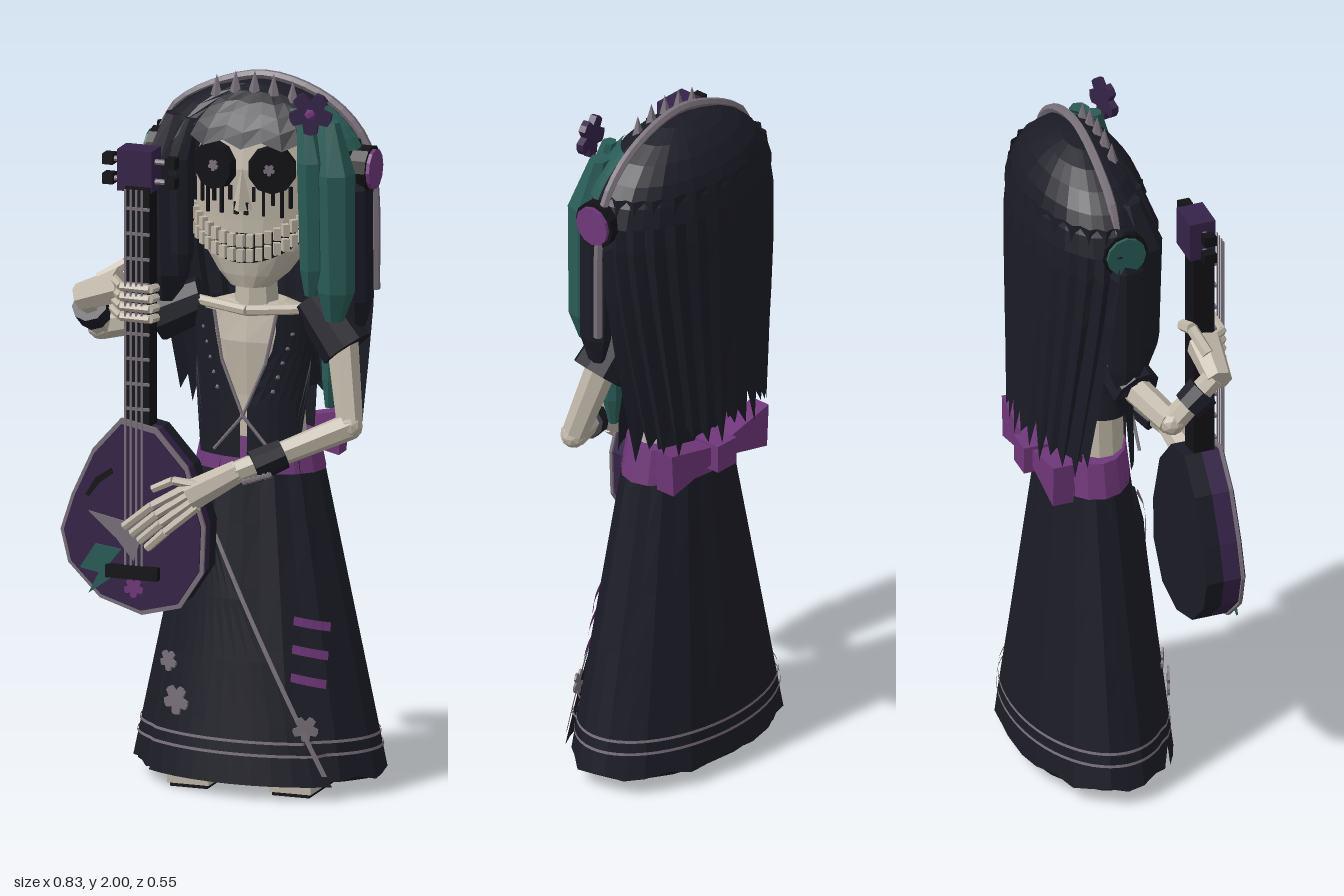
import * as THREE from 'three';

const CX = 0.055, CZ = -0.06; // body axis
const V = (p) => new THREE.Vector3(...p);
const lerp = THREE.MathUtils.lerp;

function mat(name, color) {
  return new THREE.MeshStandardMaterial({ name, color, flatShading: true, side: THREE.DoubleSide });
}

export function createModel() {
  const root = new THREE.Group();
  root.name = 'skeletonMusician';
  const M = {
    cloth: mat('darkCloth', 0x1b1b26), black: mat('black', 0x121217), bone: mat('bone', 0xbfb6a7),
    purple: mat('deepPurple', 0x352348), magenta: mat('magenta', 0x70377a), teal: mat('teal', 0x295b56),
    grey: mat('grey', 0x79707a),
  };
  const add = (name, geo, m, parent = root) => {
    const mesh = new THREE.Mesh(geo, m);
    mesh.name = name;
    parent.add(mesh);
    return mesh;
  };
  // Surface grid: fn(u, v, i, j) gives a point
  const grid = (nu, nv, fn) => {
    const pos = [], idx = [];
    for (let j = 0; j <= nv; j++) for (let i = 0; i <= nu; i++) pos.push(...fn(i / nu, j / nv, i, j));
    for (let j = 0; j < nv; j++) for (let i = 0; i < nu; i++) {
      const a = j * (nu + 1) + i, b = a + nu + 1;
      idx.push(a, a + 1, b + 1, a, b + 1, b);
    }
    const g = new THREE.BufferGeometry();
    g.setAttribute('position', new THREE.Float32BufferAttribute(pos, 3));
    g.setIndex(idx);
    g.computeVertexNormals();
    return g;
  };
  // Closed loft through rings [x, y, z, rx, rz], listed bottom to top
  const loft = (rings, n = 10) => {
    const first = rings[0], last = rings[rings.length - 1];
    const all = [[...first.slice(0, 3), 0, 0], ...rings, [...last.slice(0, 3), 0, 0]];
    return grid(n, all.length - 1, (u, v, i, j) => {
      const [x, y, z, rx, rz] = all[j], t = u * Math.PI * 2;
      return [x + rx * Math.sin(t), y, z + rz * Math.cos(t)];
    });
  };
  const limb = (name, a, b, r0, r1, m = M.bone, parent = root, n = 7) => {
    const A = V(a), B = V(b), d = B.clone().sub(A);
    const mesh = add(name, new THREE.CylinderGeometry(r1, r0, d.length(), n), m, parent);
    mesh.position.copy(A).add(B).multiplyScalar(0.5);
    mesh.quaternion.setFromUnitVectors(new THREE.Vector3(0, 1, 0), d.normalize());
  };
  const chain = (name, pts, r, m) => {
    for (let i = 0; i + 1 < pts.length; i++) limb(name, pts[i], pts[i + 1], r, r * 0.92, m, root, 6);
  };
  const box = (name, p, s, m, parent = root) => {
    const b = add(name, new THREE.BoxGeometry(...s), m, parent);
    b.position.set(...p);
    return b;
  };
  const plate = (pts, depth) => new THREE.ExtrudeGeometry(
    new THREE.Shape(pts.map(([x, y]) => new THREE.Vector2(x, y))), { depth, bevelEnabled: false });
  const flower = (name, p, r, m, ry = 0, depth = 0.006) => {
    const pts = Array.from({ length: 20 }, (_, i) => {
      const k = r * [0.6, 0.97, 1, 0.97][i % 4], t = i / 20 * Math.PI * 2;
      return [k * Math.sin(t), k * Math.cos(t)];
    });
    const f = add(name, plate(pts, depth), m);
    f.position.set(...p);
    f.rotation.y = ry;
  };

  // Skirt, hem and trimmings
  const skirtR = (y) => lerp(0.18, 0.36, (0.9 - y) / 0.85);
  const skirtPt = (t, y, off = 0) => {
    const rz = lerp(0.12, 0.214, (0.9 - y) / 0.85);
    return [CX + (skirtR(y) + off) * Math.sin(t), y, CZ + (rz + off) * Math.cos(t)];
  };
  const angleAt = (x, y) => Math.asin(THREE.MathUtils.clamp((x - CX) / skirtR(y), -1, 1));
  add('skirt', grid(28, 5, (u, v, i) => skirtPt(u * Math.PI * 2, lerp(0.043 + 0.007 * (i % 28 % 3), 0.92, v), i % 2 * -0.006)), M.cloth);
  add('skirtUnderside', loft([[CX, 0.046, CZ, 0.348, 0.207], [CX, 0.056, CZ, 0.348, 0.207]], 20), M.black);
  const seamX = (y) => lerp(0.3, -0.08, (y - 0.06) / 0.82);
  add('skirtFlap', grid(10, 5, (u, v) => {
    const y = lerp(0.04, 0.88, v);
    return skirtPt(lerp(-0.8, angleAt(seamX(y), y), u), y, 0.008 + 0.012 * u);
  }), M.cloth);
  add('flapSeam', grid(1, 12, (u, v) => {
    const y = lerp(0.07, 0.87, v);
    return skirtPt(angleAt(seamX(y) - 0.012 * u, y), y, 0.025);
  }), M.grey);
  for (const y of [0.12, 0.155]) add('hemStripe', grid(56, 1, (u, v) => {
    const t = lerp(-Math.PI, Math.PI, u), k = (t + 0.8) / (angleAt(seamX(y), y) + 0.8);
    return skirtPt(t, y + v * 0.008, k > 0 && k < 1 ? 0.012 + 0.012 * k : 0.004);
  }), M.grey);
  for (const [x, y, r] of [[-0.14, 0.35, 0.03], [-0.11, 0.25, 0.042], [0.24, 0.2, 0.036]]) {
    const t = angleAt(x, y);
    flower('skirtFlower', skirtPt(t, y, 0.02), r, M.grey, t * 0.6);
  }
  for (let k = 0; k < 3; k++) add('skirtSlash', grid(4, 1, (u, v) => {
    const y = 0.325 + k * 0.077 + v * 0.024 - u * 0.022;
    return skirtPt(angleAt(0.2 + u * 0.085, y), y, 0.009);
  }), M.magenta);

  // Shoes
  for (const x of [-0.095, 0.2]) {
    box('shoe', [x, 0.033, 0], [0.12, 0.045, 0.207], M.bone);
    box('sole', [x, 0.008, 0], [0.108, 0.016, 0.195], M.black);
  }

  // Belt and back bow
  add('belt', loft([[CX, 0.885, CZ, 0.187, 0.122], [CX, 0.985, CZ, 0.165, 0.112]], 16), M.magenta);
  const bow = add('bow', plate([[-0.19, 0.9], [-0.04, 0.935], [0.04, 0.935], [0.19, 0.9], [0.197, 1.025], [0.04, 0.99],
    [-0.04, 0.99], [-0.197, 1.025]], 0.06), M.magenta);
  bow.position.set(CX, 0, -0.217);
  box('bowKnot', [CX, 0.96, -0.2], [0.075, 0.08, 0.085], M.magenta);

  // Torso, neck and vest
  add('torso', loft([[CX, 0.93, -0.04, 0.14, 0.09], [CX, 1.1, -0.04, 0.13, 0.085], [CX, 1.25, -0.04, 0.155, 0.095],
    [CX, 1.33, -0.04, 0.16, 0.08], [CX, 1.355, -0.04, 0.08, 0.06]], 14), M.bone);
  add('neck', new THREE.CylinderGeometry(0.055, 0.065, 0.14, 8), M.bone).position.set(CX, 1.4, -0.03);
  const opening = (y) => THREE.MathUtils.clamp((y - 1.06) * 0.45, 0.01, 0.088);
  add('vest', grid(36, 8, (u, v) => {
    const t0 = u * Math.PI * 2, side = Math.min(t0, Math.PI * 2 - t0);
    const y = lerp(side < 1.0 ? 0.93 : side > 2.1 ? 0.96 : 1.13, 1.335, v);
    const rx = 0.17 + 0.02 * Math.abs(v - 0.4), a = Math.asin(opening(y) / rx);
    const t = lerp(a, Math.PI * 2 - a, u);
    return [CX + rx * Math.sin(t), y, -0.04 + 0.113 * Math.cos(t)];
  }), M.cloth);
  for (const s of [-1, 1]) {
    chain('lapelTrim', [[CX + s * 0.09, 1.335, 0.06], [CX + s * 0.063, 1.2, 0.072], [CX, 1.05, 0.08], [CX - s * 0.085, 0.95, 0.075]], 0.005, M.grey);
    limb('collarBone', [CX, 1.338, 0.05], [CX + s * 0.19, 1.345, -0.01], 0.015, 0.015);
    for (let k = 0; k < 5; k++) {
      const stud = add('vestStud', new THREE.ConeGeometry(0.007, 0.018, 5), M.grey);
      stud.position.set(CX + s * (0.08 + k * 0.012), 1.12 + k * 0.04, 0.068 - k * 0.006);
      stud.rotation.x = Math.PI / 2;
    }
  }

  // Skull
  add('skull', loft([[CX, 1.405, 0.01, 0.06, 0.05], [CX, 1.44, -0.01, 0.1, 0.08], [CX, 1.51, -0.02, 0.15, 0.1],
    [CX, 1.6, -0.03, 0.168, 0.11], [CX, 1.74, -0.03, 0.17, 0.115], [CX, 1.86, -0.04, 0.14, 0.1]], 18), M.bone);
  const facePt = (t, y, off = 0) => [CX + (0.168 + off) * Math.sin(t), y, -0.03 + (0.115 + off) * Math.cos(t)];
  const smile = (t) => 0.075 * Math.sin(t) ** 2;
  add('mouth', grid(14, 1, (u, v) => {
    const t = lerp(-1.2, 1.2, u);
    return facePt(t, 1.48 + v * lerp(0.085, 0.06, Math.abs(Math.sin(t))) + smile(t), 0.004);
  }), M.black);
  for (let row = 0; row < 2; row++) for (let i = 0; i < 17; i++) {
    const t = lerp(-1.15, 1.15, i / 16);
    box('tooth', facePt(t, 1.545 - row * 0.041 + smile(t), 0.012), [0.019, 0.034, 0.018], M.bone).rotation.y = t;
  }
  for (const s of [-1, 1]) {
    const eye = add('eyeSocket', new THREE.CylinderGeometry(0.066, 0.068, 0.025, 10), M.black);
    eye.position.set(CX + s * 0.083, 1.745, 0.073);
    eye.rotation.set(Math.PI / 2, 0, -s * 0.35);
    flower('pupil', [CX + s * 0.08, 1.748, 0.09], 0.016, M.grey, s * 0.3);
    for (let k = 0; k < 5; k++) {
      const t = s * (0.2 + k * 0.16), h = [0.04, 0.08, 0.05, 0.085, 0.06][k];
      box('tearDrip', facePt(t, 1.695 - h / 2, 0.003), [0.009, h, 0.008], M.black).rotation.y = t;
    }
    box('nostril', [CX + s * 0.014, 1.635, 0.092], [0.012, 0.035, 0.008], M.black);
  }
  add('nose', new THREE.ConeGeometry(0.03, 0.12, 4), M.bone).position.set(CX, 1.69, 0.085);

  // Hair: cap with fringe, pleated back curtain, front locks
  add('hairCap', grid(32, 6, (u, v, i) => {
    const t = u * Math.PI * 2, front = Math.cos(t) > 0.75;
    const y = front ? 1.8 + 0.02 * (i % 2) : 1.74;
    const p = lerp(Math.asin((y - 1.71) / 0.245), Math.PI / 2, v), f = 1 - 0.01 * (i % 2);
    return [CX + 0.322 * f * Math.cos(p) * Math.sin(t), 1.71 + 0.245 * Math.sin(p), -0.07 + 0.18 * f * Math.cos(p) * Math.cos(t)];
  }), M.cloth);
  add('backHair', grid(26, 5, (u, v, i) => {
    const a = lerp(2.0, 1.5, v), t = lerp(a, Math.PI * 2 - a, u), f = 1 - 0.045 * (i % 2);
    const y = lerp(1.01 + 0.07 * (i % 2) + 0.02 * (i % 3), 1.82, v);
    const r = lerp(0.29, 0.325, Math.min(1, v * 1.8)) * (v > 0.95 ? 0.92 : 1);
    return [CX + r * f * Math.sin(t), y, -0.07 + 0.178 * f * (v > 0.95 ? 0.95 : 1) * Math.cos(t)];
  }), M.cloth);
  const lock = (name, x, z, y0, y1, w, d, m) => add(name, loft([[x, y0, z, w * 0.45, d * 0.45], [x + 0.005, lerp(y0, y1, 0.15), z, w * 0.9, d * 0.9],
    [x, lerp(y0, y1, 0.75), z, w, d], [x - Math.sign(x) * 0.025, y1, z - 0.02, w * 0.55, d * 0.5]], 7), m);
  lock('rightLock', -0.19, 0.01, 1.34, 1.86, 0.065, 0.07, M.cloth);
  lock('rightLockInner', -0.135, 0.05, 1.42, 1.86, 0.035, 0.04, M.cloth);
  lock('rightLockOuter', -0.235, -0.04, 1.28, 1.82, 0.035, 0.06, M.cloth);
  lock('leftTealLock', 0.305, 0.04, 1.33, 1.88, 0.058, 0.055, M.teal);
  lock('leftTealLockInner', 0.245, 0.06, 1.4, 1.9, 0.04, 0.04, M.teal);
  lock('leftTealStrand', 0.27, -0.02, 1.07, 1.6, 0.03, 0.03, M.teal);
  lock('leftLockOuter', 0.35, -0.03, 1.3, 1.82, 0.038, 0.055, M.cloth);
  add('tealCrownPatch', grid(6, 4, (u, v) => {
    const t = lerp(0.6, 1.4, u), p = lerp(0.35, 0.9, v);
    return [CX + 0.328 * Math.cos(p) * Math.sin(t), 1.712 + 0.25 * Math.sin(p), -0.07 + 0.186 * Math.cos(p) * Math.cos(t)];
  }), M.teal);

  // Headband, spikes, ear discs and hair flower
  const arc = new THREE.CatmullRomCurve3([[-0.23, 1.8, -0.067], [-0.18, 1.88, -0.067], [CX, 1.973, -0.067], [0.25, 1.92, -0.067],
    [0.35, 1.82, -0.067], [0.38, 1.7, -0.067], [0.385, 1.4, -0.067]].map(V));
  add('headband', new THREE.TubeGeometry(arc, 28, 0.013, 6), M.grey);
  for (let k = -2; k <= 2; k++)
    add('headSpike', new THREE.ConeGeometry(0.018, 0.06, 5), M.grey).position.set(CX + k * 0.055, 1.966 - 0.005 * k * k, -0.015);
  for (const [x, m] of [[0.393, M.magenta], [-0.262, M.teal]]) {
    const s = Math.sign(x);
    limb('earCup', [x - s * 0.07, 1.74, -0.05], [x - s * 0.01, 1.74, -0.05], 0.066, 0.066, M.black, root, 12);
    limb('earDisc', [x - s * 0.03, 1.74, -0.05], [x, 1.74, -0.05], 0.056, 0.056, m, root, 12);
  }
  flower('hairFlower', [0.25, 1.915, 0.07], 0.06, M.purple, 0.2, 0.02);
  add('flowerCentre', new THREE.IcosahedronGeometry(0.016), M.magenta).position.set(0.255, 1.915, 0.093);

  // Left arm, strumming
  limb('leftSleeve', [0.22, 1.37, -0.03], [0.325, 1.24, -0.01], 0.065, 0.075, M.cloth, root, 9);
  limb('leftUpperArm', [0.305, 1.28, -0.02], [0.352, 1.05, 0.045], 0.045, 0.037);
  add('leftElbow', new THREE.IcosahedronGeometry(0.038, 1), M.bone).position.set(0.352, 1.04, 0.05);
  limb('leftForearm', [0.352, 1.04, 0.05], [0.08, 0.925, 0.21], 0.038, 0.03);
  limb('leftCuff', [0.195, 0.972, 0.14], [0.125, 0.94, 0.185], 0.042, 0.046, M.cloth, root, 9);
  limb('leftPalm', [0.09, 0.93, 0.205], [-0.04, 0.855, 0.242], 0.032, 0.044);
  for (let k = 0; k < 4; k++) {
    const d = k - 1.5;
    chain('leftFinger', [[-0.03 + d * 0.012, 0.855 - d * 0.016, 0.252], [-0.12 + d * 0.012, 0.79 - d * 0.024, 0.263],
      [-0.19 + d * 0.022, 0.73 - d * 0.018, 0.255]], 0.0135, M.bone);
  }
  chain('leftThumb', [[0.0, 0.89, 0.25], [-0.08, 0.9, 0.26], [-0.14, 0.87, 0.255]], 0.013, M.bone);
  for (let k = 0; k < 6; k++) add('braceletBead', new THREE.IcosahedronGeometry(0.01), M.grey).position.set(0.115 + k * 0.014, 0.905 + k * 0.005, 0.225);

  // Right arm, fretting
  limb('rightSleeve', [-0.1, 1.34, -0.04], [-0.23, 1.28, -0.01], 0.06, 0.07, M.cloth, root, 9);
  limb('rightUpperArm', [-0.2, 1.29, -0.02], [-0.37, 1.255, 0.035], 0.042, 0.038);
  add('rightElbow', new THREE.IcosahedronGeometry(0.038, 1), M.bone).position.set(-0.37, 1.255, 0.04);
  limb('rightForearm', [-0.37, 1.255, 0.04], [-0.37, 1.37, 0.16], 0.036, 0.03);
  limb('rightCuff', [-0.37, 1.295, 0.085], [-0.37, 1.335, 0.13], 0.045, 0.05, M.cloth, root, 9);
  limb('rightPalm', [-0.385, 1.365, 0.17], [-0.26, 1.41, 0.175], 0.038, 0.05);
  for (let k = 0; k < 4; k++) {
    const y = 1.34 + k * 0.028;
    chain('rightFinger', [[-0.28, y + 0.01, 0.19], [-0.24, y, 0.235], [-0.155, y, 0.24], [-0.145, y, 0.21]], 0.013, M.bone);
  }
  chain('rightThumb', [[-0.33, 1.42, 0.16], [-0.26, 1.465, 0.14], [-0.21, 1.45, 0.13]], 0.018, M.bone);

  // Guitar
  const guitar = new THREE.Group();
  guitar.name = 'guitar';
  root.add(guitar);
  const outline = [[-0.412, 0.73], [-0.39, 0.64], [-0.3, 0.55], [-0.18, 0.512], [-0.07, 0.54], [-0.005, 0.64], [0, 0.77],
    [-0.05, 0.93], [-0.14, 1.03], [-0.24, 1.05], [-0.32, 0.96], [-0.38, 0.83]];
  const scaled = (k) => outline.map(([x, y]) => [-0.2 + (x + 0.2) * k, 0.75 + (y - 0.75) * k]);
  const slab = (name, pts, z, depth, m) => { add(name, plate(pts, depth), m, guitar).position.z = z; };
  slab('guitarBack', scaled(0.985), 0.125, 0.05, M.cloth);
  slab('guitarSide', scaled(0.985), 0.175, 0.052, M.purple);
  slab('guitarBinding', scaled(1.015), 0.225, 0.009, M.grey);
  slab('guitarTop', scaled(0.96), 0.232, 0.008, M.purple);
  slab('pickGuard', [[-0.33, 0.79], [-0.23, 0.77], [-0.13, 0.8], [-0.18, 0.72], [-0.2, 0.66], [-0.25, 0.72]], 0.24, 0.005, M.grey);
  slab('lightningBolt', [[-0.31, 0.7], [-0.235, 0.69], [-0.275, 0.64], [-0.235, 0.63], [-0.33, 0.56], [-0.3, 0.62], [-0.355, 0.63]], 0.241, 0.006, M.teal);
  slab('soundSlot', [[-0.33, 0.83], [-0.3, 0.87], [-0.26, 0.9], [-0.265, 0.915], [-0.31, 0.885], [-0.34, 0.835]], 0.24, 0.004, M.black);
  flower('guitarFlower', [-0.2, 0.585, 0.24], 0.028, M.magenta);
  box('bridge', [-0.2, 0.63, 0.25], [0.15, 0.035, 0.025], M.black, guitar);
  box('guitarNeck', [-0.2, 1.33, 0.185], [0.07, 0.74, 0.06], M.black, guitar);
  for (let k = 0; k < 9; k++) box('fret', [-0.2, 1.08 + k * 0.07, 0.218], [0.072, 0.008, 0.008], M.grey, guitar);
  box('headstock', [-0.212, 1.742, 0.17], [0.1, 0.115, 0.075], M.purple, guitar);
  for (const s of [-1, 1]) for (const y of [1.71, 1.765]) {
    limb('pegStem', [-0.205, y, 0.175], [-0.205 + s * 0.08, y, 0.175], 0.008, 0.008, M.grey, guitar);
    box('peg', [-0.205 + s * 0.09, y, 0.175], [0.03, 0.03, 0.035], M.black, guitar);
  }
  for (let k = 0; k < 4; k++) box('string', [-0.224 + k * 0.016, 1.17, 0.245], [0.006, 1.06, 0.003], M.grey, guitar);

  return root;
}
